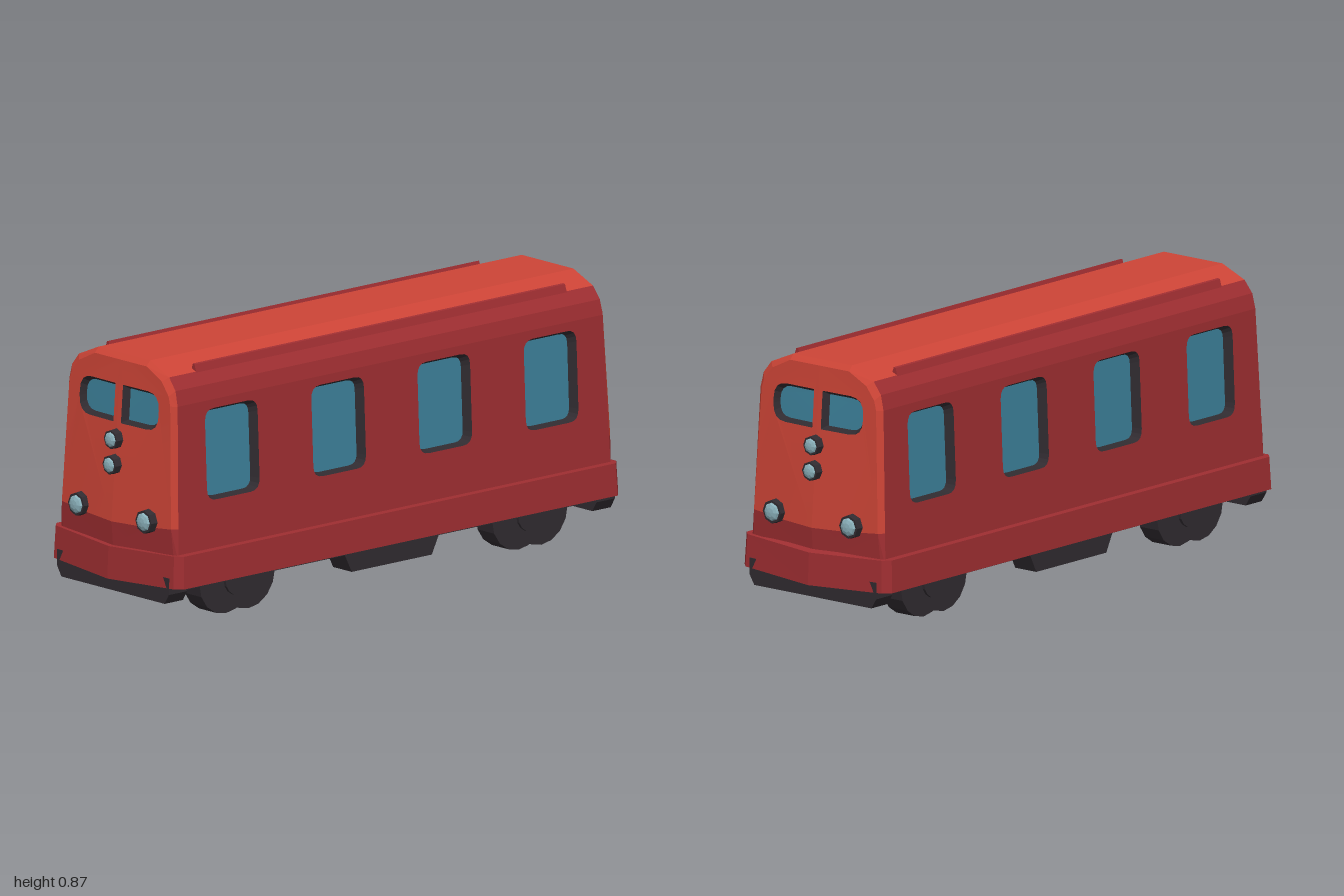
import * as THREE from 'three';

const paint = (name, color) => new THREE.MeshStandardMaterial({ name, color, side: THREE.DoubleSide });

export function createModel() {
  const orange = paint('bright red', 0xcc4436);
  const crimson = paint('crimson', 0x9e2e31);
  const dark = paint('charcoal', 0x302b30);
  const glass = paint('window glass', 0x3c8099);
  const lens = paint('lamp lens', 0x8ab0ba);

  const lerp = THREE.MathUtils.lerp;
  const V = (x, y, z) => new THREE.Vector3(x, y, z);
  const add = (parent, name, geo, mat) => {
    const m = new THREE.Mesh(geo, mat);
    m.name = name;
    parent.add(m);
    return m;
  };
  const flat = (geo) => {
    const g = geo.index ? geo.toNonIndexed() : geo;
    g.computeVertexNormals();
    return g;
  };

  // Move each vertex (u, v) of a flat shape onto a surface
  const warp = (geo, map) => {
    const p = geo.attributes.position;
    for (let i = 0; i < p.count; i++) {
      const q = map(p.getX(i), p.getY(i));
      p.setXYZ(i, q.x, q.y, q.z);
    }
    geo.computeVertexNormals();
    return geo;
  };
  // Faceted band between two lines of points
  const strip = (a, b) => {
    const pts = [];
    for (let i = 0; i < a.length - 1; i++) pts.push(a[i], b[i], b[i + 1], a[i], b[i + 1], a[i + 1]);
    const g = new THREE.BufferGeometry().setFromPoints(pts);
    g.computeVertexNormals();
    return g;
  };
  const polygon = (pts) => new THREE.Shape(pts.map(([u, v]) => new THREE.Vector2(u, v)));

  // Rounded rectangle, with its own radius for the low-u and high-u corners
  const roundRect = (u0, v0, u1, v1, ra, rb) => new THREE.Shape()
    .moveTo(u0 + ra, v0).lineTo(u1 - rb, v0).quadraticCurveTo(u1, v0, u1, v0 + rb)
    .lineTo(u1, v1 - rb).quadraticCurveTo(u1, v1, u1 - rb, v1)
    .lineTo(u0 + ra, v1).quadraticCurveTo(u0, v1, u0, v1 - ra)
    .lineTo(u0, v0 + ra).quadraticCurveTo(u0, v0, u0 + ra, v0).getPoints(4);

  // Surfaces of the body: side slope, corner position and bulging end
  const sideZ = (y) => lerp(0.284, 0.262, (y - 0.22) / 0.515);
  const wallX = (y) => lerp(0.945, 0.925, (y - 0.22) / 0.645);
  const endX = (y, z) => {
    const t = Math.max(0, (y - 0.32) / 0.545);
    const tuck = Math.max(0, 0.32 - y) * 0.08;
    return lerp(0.982, 0.94, t) - tuck - 0.022 * (Math.abs(z) / 0.27) * (1 - t);
  };
  const onSide = (d) => (x, y) => V(x, y, sideZ(y) - d);
  const onEnd = (d) => (z, y) => V(endX(y, z) - d, y, z);

  // Recessed window: dark tapered reveal with a pane at the back
  const addWindow = (parent, name, outer, inner, surface, depth) => {
    const close = (pts, d) => [...pts, pts[0]].map((p) => surface(d)(p.x, p.y));
    add(parent, name + 'Frame', strip(close(outer, 0), close(inner, depth)), dark);
    add(parent, name + 'Pane', warp(new THREE.ShapeGeometry(new THREE.Shape(inner)), surface(depth)), glass);
  };
  // Lamp facing +x: octagonal housing with a faceted lens
  const addLamp = (parent, name, r, x, y, z) => {
    const g = new THREE.Group();
    g.name = name;
    g.position.set(x, y, z);
    const housing = new THREE.CylinderGeometry(r * 0.9, r, 0.045, 8).rotateZ(-Math.PI / 2);
    add(g, 'lampHousing', flat(housing), dark);
    const dome = new THREE.SphereGeometry(r * 0.72, 8, 3, 0, Math.PI * 2, 0, Math.PI / 2)
      .scale(1, 0.4, 1).rotateZ(-Math.PI / 2).translate(0.0225, 0, 0);
    add(g, 'lampLens', flat(dome), lens);
    parent.add(g);
  };

  // One quarter of the carriage (x > 0, z > 0), mirrored into the others
  const makeQuarter = () => {
    const q = new THREE.Group();

    // Side wall and its windows
    const wall = polygon([[0, 0.22], [wallX(0.22), 0.22], [wallX(0.735), 0.735], [0, 0.735]]);
    for (const cx of [0.232, 0.697]) {
      const outer = roundRect(cx - 0.115, 0.403, cx + 0.115, 0.706, 0.04, 0.04);
      const inner = roundRect(cx - 0.101, 0.41, cx + 0.101, 0.692, 0.035, 0.035);
      wall.holes.push(new THREE.Path(outer));
      addWindow(q, 'sideWindow', outer, inner, onSide, 0.03);
    }
    add(q, 'sideWall', warp(new THREE.ShapeGeometry(wall), onSide(0)), crimson);

    // Shoulder and roof panels, from [z, y] points
    const rim = [[sideZ(0.22), 0.22], [sideZ(0.33), 0.33], [0.262, 0.735], [0.25, 0.785], [0.218, 0.825], [0.125, 0.865], [0, 0.865]];
    const face = [[0.27, 0.22], [0.264, 0.33], [0.244, 0.735], [0.235, 0.767], [0.2, 0.81], [0.125, 0.847], [0, 0.847]];
    const rim3 = rim.map(([z, y]) => V(wallX(y), y, z));
    const mid3 = rim.map(([z, y]) => V(0, y, z));
    const face3 = face.map(([z, y]) => V(endX(y, z), y, z));
    add(q, 'shoulder', strip(mid3.slice(2, 5), rim3.slice(2, 5)), crimson);
    add(q, 'roof', strip(mid3.slice(4), rim3.slice(4)), orange);

    // Bevelled corner and end face
    add(q, 'lowerCorner', strip(rim3.slice(0, 2), face3.slice(0, 2)), crimson);
    add(q, 'corner', strip(rim3.slice(1), face3.slice(1)), orange);
    const band = polygon([[0, 0.22], face[0], face[1], [0.12, 0.318], [0, 0.313]]);
    add(q, 'endLowerBand', warp(new THREE.ShapeGeometry(band), onEnd(0)), crimson);
    const end = polygon([[0, 0.313], [0.12, 0.318], ...face.slice(1)]);
    const outer = roundRect(0.018, 0.64, 0.191, 0.767, 0.004, 0.055);
    const inner = roundRect(0.034, 0.651, 0.178, 0.755, 0.003, 0.048);
    end.holes.push(new THREE.Path(outer));
    addWindow(q, 'endWindow', outer, inner, onEnd, 0.02);
    add(q, 'endFace', warp(new THREE.ShapeGeometry(end), onEnd(0)), orange);

    addLamp(q, 'headlamp', 0.043, 0.967, 0.342, 0.163);

    // Roof rail
    const rail = new THREE.ExtrudeGeometry(
      polygon([[0.196, 0.825], [0.221, 0.82], [0.212, 0.848], [0.204, 0.85]]),
      { depth: 0.81, bevelEnabled: false });
    // turn (z, y, x) into (x, y, z)
    const rp = rail.attributes.position;
    for (let i = 0; i < rp.count; i++) rp.setXYZ(i, rp.getZ(i), rp.getY(i), rp.getX(i));
    add(q, 'roofRail', flat(rail), crimson);

    // Paired wheels with a hub disc between them
    for (const [x, r, w] of [[0.69, 0.115, 0.08], [0.59, 0.115, 0.08], [0.64, 0.06, 0.1]]) {
      const wheel = new THREE.CylinderGeometry(r, r, w, 16).rotateX(Math.PI / 2);
      add(q, r > 0.1 ? 'wheel' : 'wheelHub', flat(wheel), dark).position.set(x, 0.115, 0.19);
    }

    // Side beam and hanging equipment box
    add(q, 'sideBeam', new THREE.BoxGeometry(0.92, 0.05, 0.035).translate(0.46, 0.145, 0.252), dark);
    const box = new THREE.ExtrudeGeometry(
      polygon([[0, 0.16], [0.22, 0.16], [0.205, 0.12], [0.175, 0.06], [0, 0.06]]),
      { depth: 0.09, bevelEnabled: false }).translate(0, 0, 0.18);
    add(q, 'equipmentBox', flat(box), dark);
    return q;
  };

  const model = new THREE.Group();
  model.name = 'railCarriage';
  for (const sx of [1, -1]) {
    for (const sz of [1, -1]) {
      const q = makeQuarter();
      q.name = (sx > 0 ? 'left' : 'right') + (sz > 0 ? 'Front' : 'Back') + 'Quarter';
      q.scale.set(sx, 1, sz);
      model.add(q);
    }

    // Centre lamps and under-end plate
    const endGroup = new THREE.Group();
    endGroup.name = sx > 0 ? 'leftEnd' : 'rightEnd';
    addLamp(endGroup, 'upperLamp', 0.035, 0.964, 0.587, 0);
    addLamp(endGroup, 'lowerLamp', 0.035, 0.97, 0.503, 0);
    const plate = new THREE.ExtrudeGeometry(
      polygon([[-0.27, 0.17], [-0.27, 0.115], [-0.25, 0.082], [0.25, 0.082], [0.27, 0.115], [0.27, 0.17]]),
      { depth: 0.08, bevelEnabled: false }).rotateY(Math.PI / 2).translate(0.895, 0, 0);
    add(endGroup, 'underEndPlate', flat(plate), dark);
    endGroup.scale.x = sx;
    model.add(endGroup);
  }

  // Skirt: hollow ring with pointed ends that dip at the middle
  const ring = (x0, x1, x2, z0, z1) => [[x0, 0], [x1, z1], [x2, z0], [-x2, z0], [-x1, z1],
    [-x0, 0], [-x1, -z1], [-x2, -z0], [x2, -z0], [x1, -z1]];
  const plan = polygon(ring(1, 0.972, 0.948, 0.314, 0.29));
  plan.holes.push(polygon(ring(0.955, 0.94, 0.925, 0.272, 0.265)));
  const skirt = new THREE.ExtrudeGeometry(plan, { depth: 0.108, bevelEnabled: false })
    .rotateX(-Math.PI / 2).translate(0, 0.137, 0);
  const sp = skirt.attributes.position;
  for (let i = 0; i < sp.count; i++) {
    const top = sp.getY(i) > 0.2;
    if (Math.abs(sp.getZ(i)) < 0.01) sp.setY(i, sp.getY(i) - 0.012);
    if (top) sp.setXYZ(i, sp.getX(i) * 0.995, sp.getY(i), sp.getZ(i) * 0.985);
  }
  add(model, 'skirt', flat(skirt), crimson);

  return model;
}
